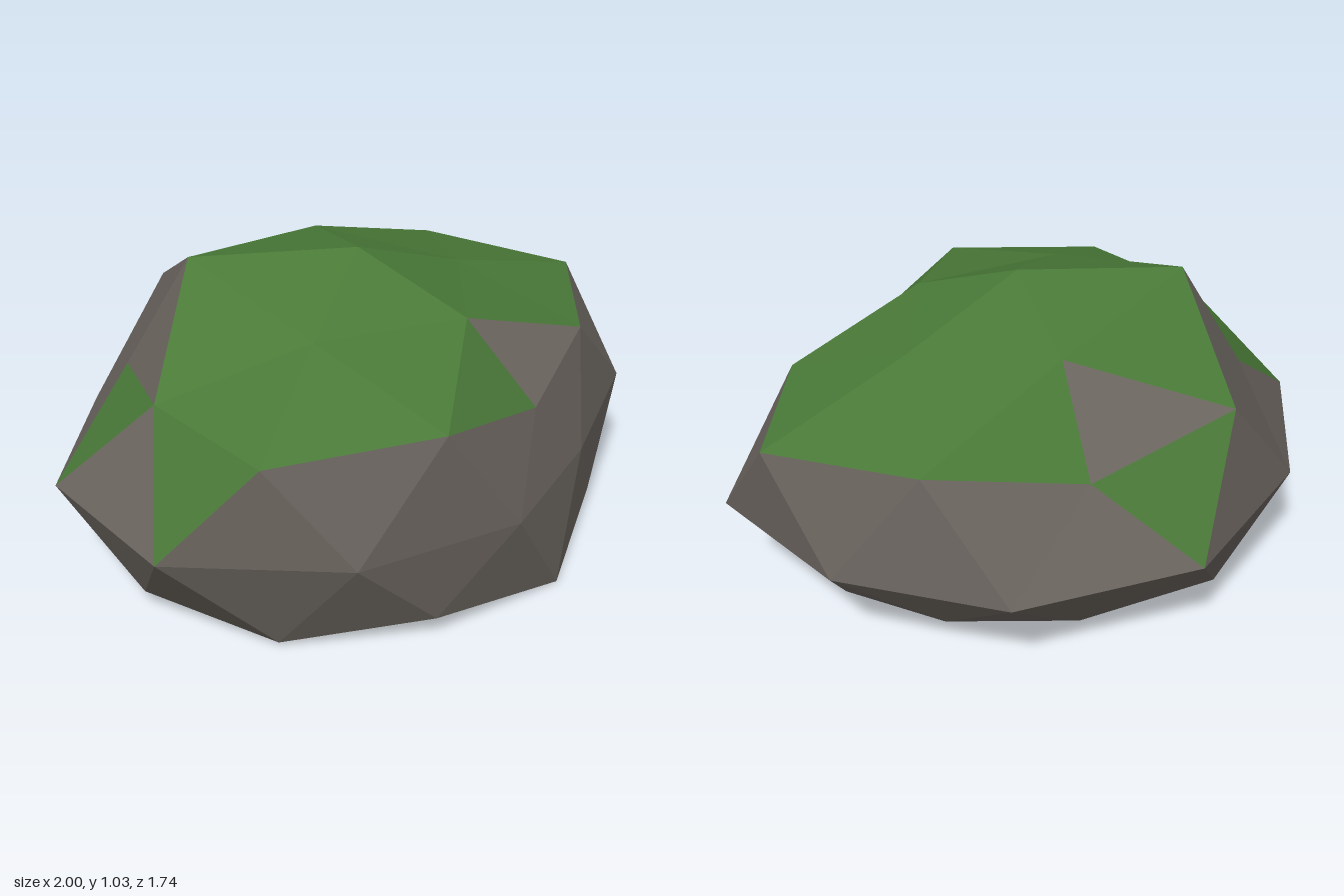
import * as THREE from 'three';

// Low-poly boulder with moss: a twice-split icosahedron, squashed, each corner pushed in or out.
const CENTRE = new THREE.Vector3(0.008, 0.37, 0.072);

function corner(angle, height, push) {
  const a = THREE.MathUtils.degToRad(angle);
  const r = Math.sqrt(1 - height * height) * push;
  return new THREE.Vector3(
    CENTRE.x + r * Math.cos(a),
    Math.max(0, CENTRE.y + 0.7 * height * push), // flat underside
    CENTRE.z + 0.897 * r * Math.sin(a)
  );
}

// One ring of corners, evenly spaced around the boulder
const ring = (start, height, pushes) =>
  pushes.map((p, i) => corner(start + (360 / pushes.length) * i, height, p));

// Eight faces per fifth of one half, from the pole to the equator
function sector(half, equator, i, shift) {
  const { pole, inner, outer, mid } = half;
  const n = (i + 1) % 5, p = (i + 4) % 5;
  const e = (j) => equator[(2 * i + shift + j + 10) % 10];
  return [
    [pole, inner[i], inner[n]],
    [inner[i], inner[n], mid[i]],
    [inner[i], outer[i], mid[i]],
    [inner[i], outer[i], mid[p]],
    [outer[i], mid[i], e(0)],
    [outer[i], mid[p], e(-1)],
    [outer[i], e(-1), e(0)],
    [mid[i], e(0), e(1)],
  ];
}

// Flat-faced mesh from triangles, every one turned outward
function facets(name, faces, material) {
  const core = new THREE.Vector3(0, 0.4, 0);
  const points = [];
  for (const [a, b, c] of faces) {
    const normal = b.clone().sub(a).cross(c.clone().sub(a));
    const outward = normal.dot(a.clone().sub(core)) > 0;
    points.push(...(outward ? [a, b, c] : [a, c, b]));
  }
  const geometry = new THREE.BufferGeometry().setFromPoints(points);
  geometry.computeVertexNormals();
  const mesh = new THREE.Mesh(geometry, material);
  mesh.name = name;
  return mesh;
}

export function createModel() {
  const stone = new THREE.MeshStandardMaterial({ color: 0x6b655f });
  stone.name = 'stone grey';
  const moss = new THREE.MeshStandardMaterial({ color: 0x4a7a38 });
  moss.name = 'moss green';

  const equator = ring(18, 0, [1.043, 0.82, 0.89, 0.955, 1.06, 1.06, 1.015, 1.05, 1.02, 0.99]);
  const upper = {
    pole: corner(0, 1, 0.943),
    inner: ring(0, 0.851, [0.84, 0.845, 0.866, 1.085, 0.95]),
    outer: ring(0, 0.447, [1.11, 0.81, 1.057, 0.887, 0.89]),
    mid: ring(36, 0.526, [0.922, 1.03, 0.94, 1.06, 1.065].map((p, i) => [0.922, 1.03, 0.94, 1.05, 1.06][i])),
  };
  const lower = {
    pole: corner(0, -1, 0.9),
    inner: ring(36, -0.851, [1.04, 1, 1, 0.98, 1.03]),
    outer: ring(36, -0.447, [0.96, 0.93, 0.98, 0.96, 0.83]),
    mid: ring(72, -0.526, [1.0, 0.965, 1.01, 0.84, 0.86]),
  };

  // Which faces of each upper sector are mossy
  const mossy = ['11110000', '11100000', '11111000', '11000100', '11100100'];
  const mossFaces = [], stoneFaces = [];
  for (let i = 0; i < 5; i++) {
    sector(upper, equator, i, 0).forEach((face, k) =>
      (mossy[i][k] === '1' ? mossFaces : stoneFaces).push(face));
    stoneFaces.push(...sector(lower, equator, i, 1));
  }

  const boulder = new THREE.Group();
  boulder.name = 'mossyBoulder';
  boulder.add(facets('stoneBody', stoneFaces, stone), facets('mossCover', mossFaces, moss));
  return boulder;
}
